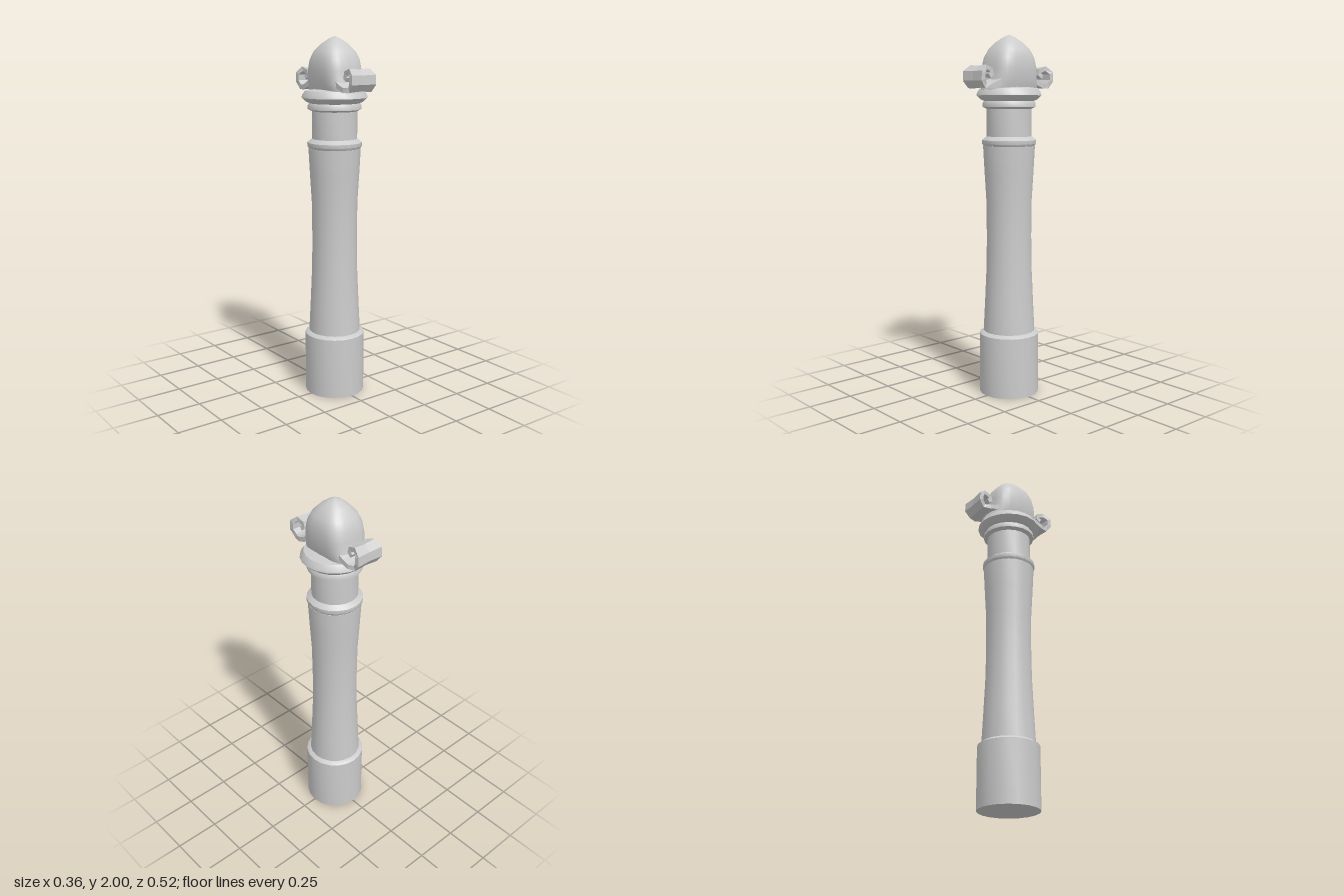
import * as THREE from 'three';
import { toCreasedNormals } from 'three/addons/utils/BufferGeometryUtils.js';

const grey = new THREE.MeshStandardMaterial({ color: 0xcccccc });
const greyFlat = new THREE.MeshStandardMaterial({ color: 0xcccccc, flatShading: true });

// Skin a list of closed cross-sections (each an array of [x, y, z])
function loft(sections) {
  const n = sections[0].length;
  const index = [];
  for (let i = 0; i < sections.length - 1; i++) {
    for (let j = 0; j < n; j++) {
      const a = i * n + j, b = i * n + (j + 1) % n;
      index.push(a, b, a + n, b, b + n, a + n);
    }
  }
  const geo = new THREE.BufferGeometry();
  geo.setAttribute('position', new THREE.Float32BufferAttribute(sections.flat(2), 3));
  geo.setIndex(index);
  geo.computeVertexNormals();
  return geo;
}

function part(name, geo, material) {
  const mesh = new THREE.Mesh(geo, material);
  mesh.name = name;
  return mesh;
}

function lathe(name, profile) {
  const geo = new THREE.LatheGeometry(profile.map(([r, y]) => new THREE.Vector2(r, y)), 20);
  return part(name, toCreasedNormals(geo, 0.65), grey);
}

// Rounded-square rings tapering to a point: [y, half width x, half depth z, squareness]
function domeGeometry() {
  const rings = [
    [1.7, 0.098, 0.165, 3], [1.725, 0.104, 0.158, 3.2], [1.755, 0.112, 0.143, 3.6],
    [1.82, 0.117, 0.138, 3.6], [1.875, 0.114, 0.127, 3.2], [1.92, 0.1, 0.106, 2.8],
    [1.96, 0.066, 0.07, 2.4], [1.985, 0.034, 0.035, 2], [2, 0, 0, 2],
  ];
  const steps = 28;
  return loft(rings.map(([y, a, b, p]) => Array.from({ length: steps }, (_, j) => {
    const t = (j / steps) * Math.PI * 2, c = Math.cos(t), s = Math.sin(t);
    return [
      a * Math.sign(c) * Math.abs(c) ** (2 / p), y,
      -b * Math.sign(s) * Math.abs(s) ** (2 / p),
    ];
  })));
}

// Curled strap: centre line as [z, y, half width], with a slight centre crease
function scrollGeometry() {
  const path = [
    [0.1, 1.765, 0.085], [0.145, 1.738, 0.085], [0.185, 1.724, 0.084], [0.222, 1.724, 0.072],
    [0.246, 1.755, 0.079], [0.244, 1.797, 0.079], [0.213, 1.822, 0.066], [0.178, 1.81, 0.062],
    [0.172, 1.788, 0.062], [0.19, 1.776, 0.064],
  ];
  const half = 0.013, crease = 0.005;
  const sections = path.map(([z, y, w], i) => {
    const p = path[Math.max(i - 1, 0)], q = path[Math.min(i + 1, path.length - 1)];
    const len = Math.hypot(q[0] - p[0], q[1] - p[1]);
    const nz = (q[1] - p[1]) / len, ny = -(q[0] - p[0]) / len;
    const at = (x, d) => [x, y + ny * d, z + nz * d];
    return [
      at(-w, half), at(0, half - crease), at(w, half),
      at(w, -half), at(0, -half - crease), at(-w, -half),
    ];
  });
  // Close both ends
  const cap = ([z, y]) => Array.from({ length: 6 }, () => [0, y, z]);
  return loft([cap(path[0]), ...sections, cap(path[path.length - 1])]);
}

export function createModel() {
  const model = new THREE.Group();
  model.name = 'bollard';

  model.add(lathe('base', [
    [0, 0], [0.167, 0], [0.167, 0.342], [0.144, 0.358], [0, 0.358],
  ]));
  model.add(lathe('shaft', [
    [0.145, 0.352], [0.136, 0.53], [0.127, 0.73], [0.125, 0.9],
    [0.127, 1.1], [0.136, 1.25], [0.144, 1.4],
  ]));
  model.add(lathe('collar', [
    [0.142, 1.4], [0.15, 1.412], [0.15, 1.432], [0.124, 1.452], [0.124, 1.605],
  ]));
  model.add(lathe('capital', [
    [0.124, 1.602], [0.146, 1.612], [0.146, 1.632], [0.138, 1.645], [0.155, 1.652],
    [0.18, 1.675], [0.175, 1.69], [0.16, 1.712], [0.11, 1.72], [0, 1.72],
  ]));

  model.add(part('dome', toCreasedNormals(domeGeometry(), 0.7), grey));

  // Matching scrolls at front and back
  const scroll = scrollGeometry();
  ['frontScroll', 'backScroll'].forEach((name, i) => {
    const mesh = part(name, scroll, greyFlat);
    mesh.rotation.y = i * Math.PI;
    model.add(mesh);
  });
  return model;
}
